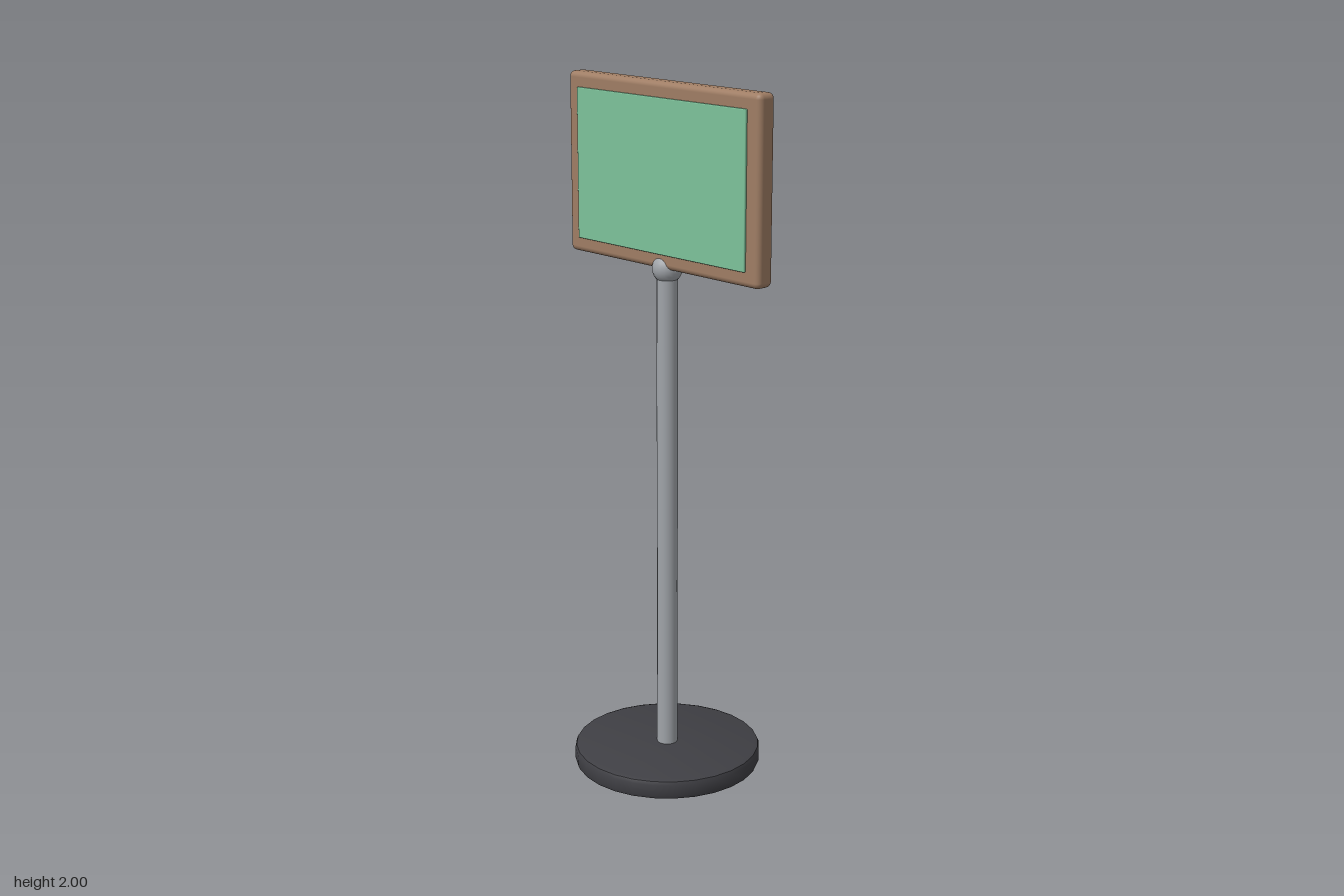
import * as THREE from 'three';
import { toCreasedNormals } from 'three/addons/utils/BufferGeometryUtils.js';
import { RoundedBoxGeometry } from 'three/addons/geometries/RoundedBoxGeometry.js';

function material(name, color) {
  const m = new THREE.MeshStandardMaterial({ color });
  m.name = name;
  return m;
}

export function createModel() {
  const group = new THREE.Group();
  group.name = 'standingSign';

  const charcoal = material('charcoal', 0x3f3f44);
  const metal = material('grey metal', 0xa0a4a9);
  const wood = material('brown wood', 0x9f7d64);
  const green = material('green', 0x7dc29a);
  const red = material('red', 0xe24e50);

  function add(name, geometry, mat, y, z = 0) {
    const mesh = new THREE.Mesh(geometry, mat);
    mesh.name = name;
    mesh.position.set(0, y, z);
    group.add(mesh);
  }

  // Round foot with softened rims
  const profile = [
    [0, 0], [0.258, 0], [0.269, 0.004], [0.273, 0.014],
    [0.273, 0.046], [0.269, 0.056], [0.258, 0.06], [0, 0.06],
  ].map(([r, y]) => new THREE.Vector2(r, y));
  add('base', toCreasedNormals(new THREE.LatheGeometry(profile, 28), 0.6), charcoal, 0);

  // Pole and the ball joint under the board
  add('pole', new THREE.CylinderGeometry(0.03, 0.03, 1.43, 16), metal, 0.765);
  add('ballJoint', new THREE.SphereGeometry(0.043, 20, 14), metal, 1.487);

  // Rounded board with a coloured panel on each face
  add('board', new RoundedBoxGeometry(0.756, 0.512, 0.059, 3, 0.016), wood, 1.744);
  for (const [name, mat, side] of [['frontPanel', green, 1], ['backPanel', red, -1]]) {
    add(name, new RoundedBoxGeometry(0.666, 0.428, 0.009, 2, 0.003), mat, 1.744, side * 0.0325);
  }

  return group;
}
